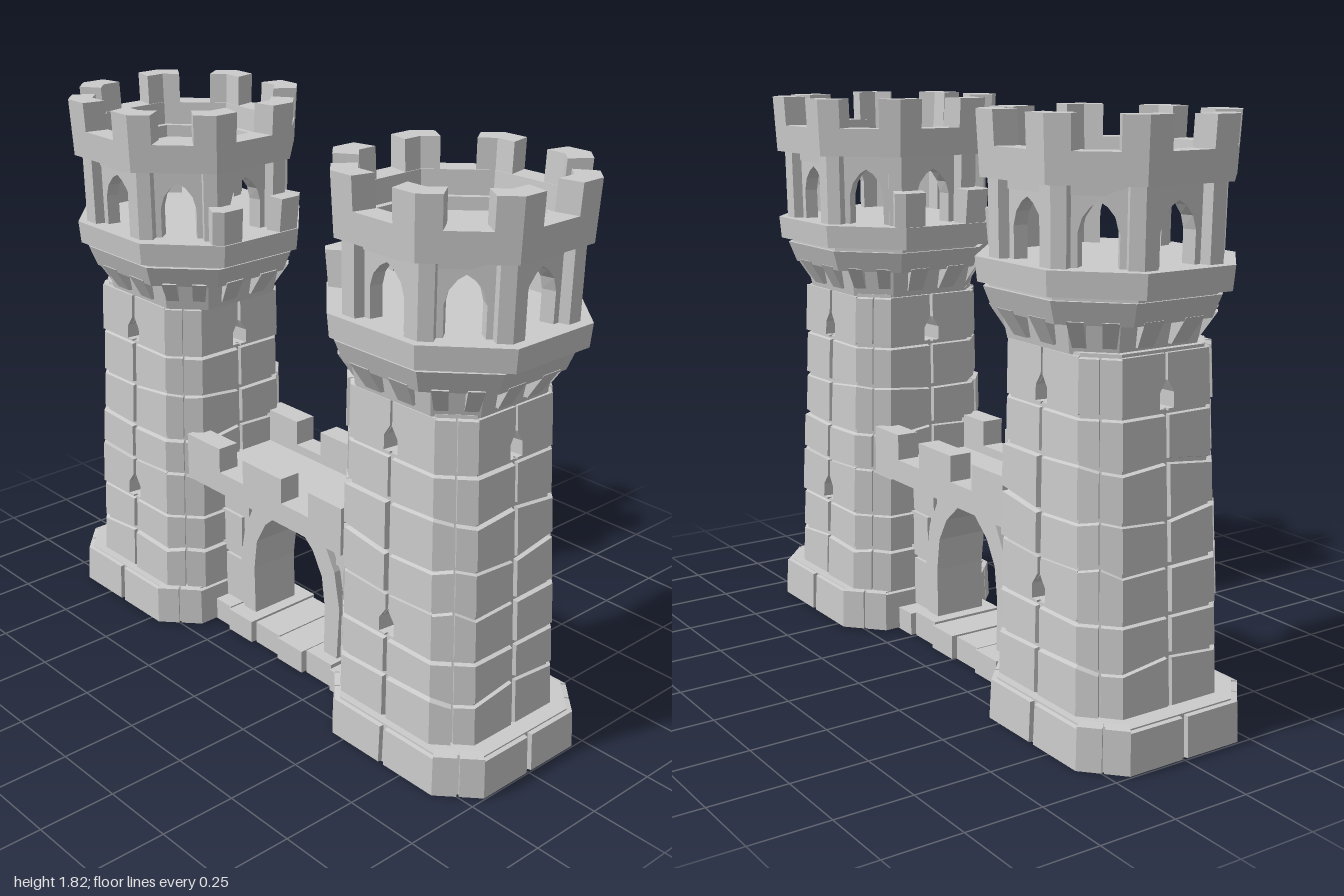
import * as THREE from 'three';
import { mergeGeometries } from 'three/addons/utils/BufferGeometryUtils.js';
import { ConvexGeometry } from 'three/addons/geometries/ConvexGeometry.js';

const material = new THREE.MeshStandardMaterial({ color: 0xcccccc, side: THREE.DoubleSide });
const faces = [0, 1, 2, 3, 4, 5, 6, 7];

// Repeatable jitter in -1..1
const jitter = (a, b) => {
  const v = Math.sin(a * 12.99 + b * 78.23) * 43758.55;
  return (v - Math.floor(v)) * 2 - 1;
};

// Octagonal profile from height y0 to y1: apothem a, centre c in z,
// q is how far the diagonal faces stand out (1 = regular), k stretches z
const prof = (a0, a1, y0, y1, q, k, c0, c1 = c0) => ({ a0, a1, y0, y1, q, k, c0, c1 });

// Point on an octagon face: s is -1..1 across it, d is the distance in front of it
function facePoint(face, p, s, y, d) {
  const f = (y - p.y0) / (p.y1 - p.y0);
  const a = p.a0 + (p.a1 - p.a0) * f + d;
  const n = face % 2 ? a * p.q : a;
  const t = s * a * (face % 2 ? Math.SQRT2 - p.q : p.q * Math.SQRT2 - 1);
  const sin = Math.sin(face * Math.PI / 4), cos = Math.cos(face * Math.PI / 4);
  return new THREE.Vector3(sin * n + cos * t, y, (cos * n - sin * t) * p.k + p.c0 + (p.c1 - p.c0) * f);
}

const shapeOf = pts => new THREE.Shape(pts.map(p => new THREE.Vector2(p[0], p[1])));
const rect = (s0, s1, y0, y1) => [[s0, y0], [s1, y0], [s1, y1], [s0, y1]];

// Panel on one octagon face, outlined in (s, y), from depth d0 to d1
function panel(pts, face, p, d0, d1, { holes = [], bevel = 0 } = {}) {
  const shape = shapeOf(pts);
  holes.forEach(h => shape.holes.push(shapeOf(h)));
  const geo = new THREE.ExtrudeGeometry(shape, { depth: d1 - d0, bevelEnabled: false });
  const ys = pts.map(q => q[1]);
  const mid = (Math.min(...ys) + Math.max(...ys)) / 2;
  const pos = geo.attributes.position;
  for (let i = 0; i < pos.count; i++) {
    let s = pos.getX(i), y = pos.getY(i);
    const d = pos.getZ(i) + d0;
    if (bevel && d > d1 - 1e-5) {
      y += Math.sign(mid - y) * bevel;
      if (Math.abs(s) < 0.98) s += Math.sign(s) * bevel * 5;
    }
    const v = facePoint(face, p, s, y, d);
    pos.setXYZ(i, v.x, v.y, v.z);
  }
  geo.computeVertexNormals();
  return geo;
}

// Solid octagonal drum filling a profile
const drum = (p, inset = 0) => new ConvexGeometry(
  faces.flatMap(f => [p.y0, p.y1].map(y => facePoint(f, p, 1, y, -inset))));

function add(group, name, geos) {
  const mesh = new THREE.Mesh(Array.isArray(geos) ? mergeGeometries(geos) : geos, material);
  mesh.name = name;
  group.add(mesh);
}

// Both halves of a face, mirrored about its centre line
const halves = fn => faces.flatMap(f => [-1, 1].map(m => fn(f, m)));
const mirror = (pts, m) => m > 0 ? pts : pts.map(([s, y]) => [-s, y]);

function createShaft() {
  const g = new THREE.Group();

  // Plinth of corner stones round a solid core
  const base = prof(0.305, 0.3, 0, 0.135, 1.17, 1.08, 0.67);
  add(g, 'plinthCore', drum(base, 0.014));
  add(g, 'plinthStones', halves((f, m) =>
    panel(mirror(rect(0.03, 1, 0, 0.135 + jitter(f, 3) * 0.006), m), f, base, -0.03, 0, { bevel: 0.004 })));

  // Hollow shaft wall with window openings
  const shaft = prof(0.264, 0.238, 0.12, 1.17, 1.17, 1.1, 0.64, 0.615);
  const windowTop = f => f % 2 === 0;
  const windowLow = f => f === 2 || f === 6;
  const opening = y => [[-0.165, y], [0.165, y], [0.165, y + 0.045], [0, y + 0.085], [-0.165, y + 0.045]];
  add(g, 'shaftWall', faces.map(f => panel(rect(-1, 1, 0.12, 1.17), f, shaft, -0.06, -0.013, {
    holes: [...(windowLow(f) ? [opening(0.42)] : []), ...(windowTop(f) ? [opening(1.005)] : [])],
  })));

  // Courses of stones that wrap the corners, notched round the windows
  const levels = [0.13, 0.28, 0.41, 0.56, 0.7, 0.85, 0.995, 1.165];
  const wavy = c => [1, 3, 4, 5].includes(c);
  const jointY = (c, v) => levels[c] + (wavy(c) ? jitter(c, (v + 16) % 16) * 0.014 : 0);
  const stones = [];
  for (let c = 0; c < 7; c++) {
    stones.push(...halves((f, m) => {
      const mid = f * 2, edge = mid + m, gap = 0.004;
      const pts = [[0.03, jointY(c, mid) + gap], [1, jointY(c, edge) + gap],
        [1, jointY(c + 1, edge) - gap], [0.03, jointY(c + 1, mid) - gap]];
      const wy = c === 2 && windowLow(f) ? 0.42 : c === 6 && windowTop(f) ? 1.005 : 0;
      if (wy) pts.push([0.03, wy + 0.08], [0.165, wy + 0.045], [0.165, wy], [0.03, wy]);
      return panel(mirror(pts, m), f, shaft, -0.02, jitter(c + 5, (edge + 16) % 16) * 0.004, { bevel: wy ? 0 : 0.005 });
    }));
  }
  add(g, 'shaftStones', stones);
  return g;
}

function createTowerHead() {
  const g = new THREE.Group();

  // Corbels carrying the gallery
  add(g, 'corbelCore', drum(prof(0.232, 0.25, 1.16, 1.26, 1.13, 1.08, 0.615)));
  const corbel = prof(0.242, 0.296, 1.17, 1.26, 1.07, 1.07, 0.618);
  add(g, 'corbels', halves((f, m) => panel(mirror(rect(0.25, 0.7, 1.18, 1.26), m), f, corbel, -0.06, 0)));
  add(g, 'cornice', [
    drum(prof(0.288, 0.312, 1.25, 1.318, 1.05, 1.07, 0.62)),
    drum(prof(0.3, 0.3, 1.318, 1.34, 1.04, 1.08, 0.622)),
  ]);
  const gallery = prof(0.332, 0.338, 1.332, 1.405, 1.03, 1.11, 0.626);
  add(g, 'galleryFloor', drum(gallery));

  // Two low merlons on the side facing the other tower
  add(g, 'galleryMerlons', [-1, 1].flatMap(m => [
    panel(mirror(rect(0.5, 1, 1.4, 1.52), m), 4, gallery, -0.05, -0.005, { bevel: 0.004 }),
    panel(mirror(rect(0.7, 1, 1.4, 1.52), -m), 4 + m, gallery, -0.05, -0.005, { bevel: 0.004 }),
  ]));

  // Open storey: pointed arches between corner pillars
  const storey = prof(0.312, 0.316, 1.4, 1.64, 1.02, 1.06, 0.636);
  const arch = [[-1, 1.4], [-0.5, 1.4], [-0.5, 1.5], [-0.4, 1.54], [-0.2, 1.57], [0, 1.585],
    [0.2, 1.57], [0.4, 1.54], [0.5, 1.5], [0.5, 1.4], [1, 1.4], [1, 1.64], [-1, 1.64]];
  add(g, 'arches', faces.map(f => panel(arch, f, storey, -0.07, -0.03)));
  add(g, 'pillars', halves((f, m) => panel(mirror(rect(0.66, 1, 1.4, 1.64), m), f, storey, -0.05, 0)));

  // Crenellated top with corner merlons round a sunken floor
  const crown = prof(0.34, 0.35, 1.63, 1.81, 1.02, 1.03, 0.638);
  add(g, 'roofFloor', drum(prof(0.285, 0.285, 1.585, 1.605, 1.02, 1.03, 0.638)));
  add(g, 'roofLedge', faces.map(f => panel(rect(-1, 1, 1.6, 1.645), f, crown, -0.095, -0.05)));
  add(g, 'parapet', faces.map(f => panel(rect(-1, 1, 1.63, 1.72), f, crown, -0.075, 0)));
  add(g, 'merlons', halves((f, m) =>
    panel(mirror(rect(0.48, 1, 1.71, 1.815 + jitter(f * 2 + m, 9) * 0.004), m), f, crown, -0.072, 0)));
  return g;
}

// The head may sit a little off the shaft, towards the gate
function createTower(name, lean) {
  const tower = new THREE.Group();
  tower.name = name;
  const shaft = createShaft();
  shaft.name = 'towerShaft';
  const head = createTowerHead();
  head.name = 'towerHead';
  head.position.z = -lean;
  tower.add(shaft, head);
  return tower;
}

// Slab of a (z, y) outline, centred on x
const slab = (pts, halfX) =>
  new THREE.ExtrudeGeometry(shapeOf(pts), { depth: halfX * 2, bevelEnabled: false })
    .translate(0, 0, -halfX).rotateY(-Math.PI / 2);

const block = (x, y0, y1, z0, z1, w) =>
  new THREE.BoxGeometry(w, y1 - y0, z1 - z0).translate(x, (y0 + y1) / 2, (z0 + z1) / 2);

function createGateway() {
  const g = new THREE.Group();
  g.name = 'gateway';

  // Thin wall with the arched gate
  const inner = [[0.175, 0.02], [0.18, 0.25], [0.165, 0.36], [0.12, 0.44], [0.05, 0.5]];
  const outer = [[0.235, 0.02], [0.25, 0.27], [0.225, 0.4], [0.165, 0.51], [0.07, 0.57]];
  const full = half => [...half, ...half.map(([z, y]) => [-z, y]).reverse()];
  add(g, 'gateWall', slab([[0.4, 0.02], ...full(inner), [-0.4, 0.02], [-0.4, 0.59], [0.4, 0.59]], 0.065));
  add(g, 'gateArch', slab([...full(outer), ...full(inner).reverse()], 0.09));

  // Side stones
  const sides = [];
  for (const m of [-1, 1]) {
    for (const [y0, y1, z] of [[0.08, 0.245, 0.245], [0.257, 0.41, 0.26], [0.422, 0.565, 0.22]]) {
      sides.push(block(0, y0, y1, Math.min(m * z, m * 0.4), Math.max(m * z, m * 0.4), 0.155));
    }
  }
  add(g, 'gateStones', sides);

  // Threshold of paving blocks
  const sill = [block(0, 0, 0.07, -0.4, 0.4, 0.24)];
  for (let i = 0; i < 6; i++) {
    const z = -0.39 + i * 0.13;
    sill.push(block(0, 0, 0.08 + jitter(i, 1) * 0.004, z + 0.004, z + 0.126, i % 2 ? 0.29 : 0.26));
  }
  add(g, 'threshold', sill);

  // Walkway with parapets and merlons
  add(g, 'walkway', block(0, 0.57, 0.61, -0.38, 0.38, 0.4));
  const rails = [];
  for (const m of [-1, 1]) {
    rails.push(block(m * 0.17, 0.565, 0.64, -0.38, 0.38, 0.075));
    for (const [z0, z1] of [[-0.38, -0.21], [-0.09, 0.1], [0.23, 0.38]]) {
      rails.push(block(m * 0.17, 0.63, 0.725, z0, z1, 0.075));
    }
  }
  add(g, 'walkwayParapet', rails);
  return g;
}

export function createModel() {
  const model = new THREE.Group();
  model.name = 'castleGate';
  const back = createTower('backTower', 0.026);
  back.rotation.y = Math.PI;
  model.add(createTower('frontTower', 0), back, createGateway());
  return model;
}
